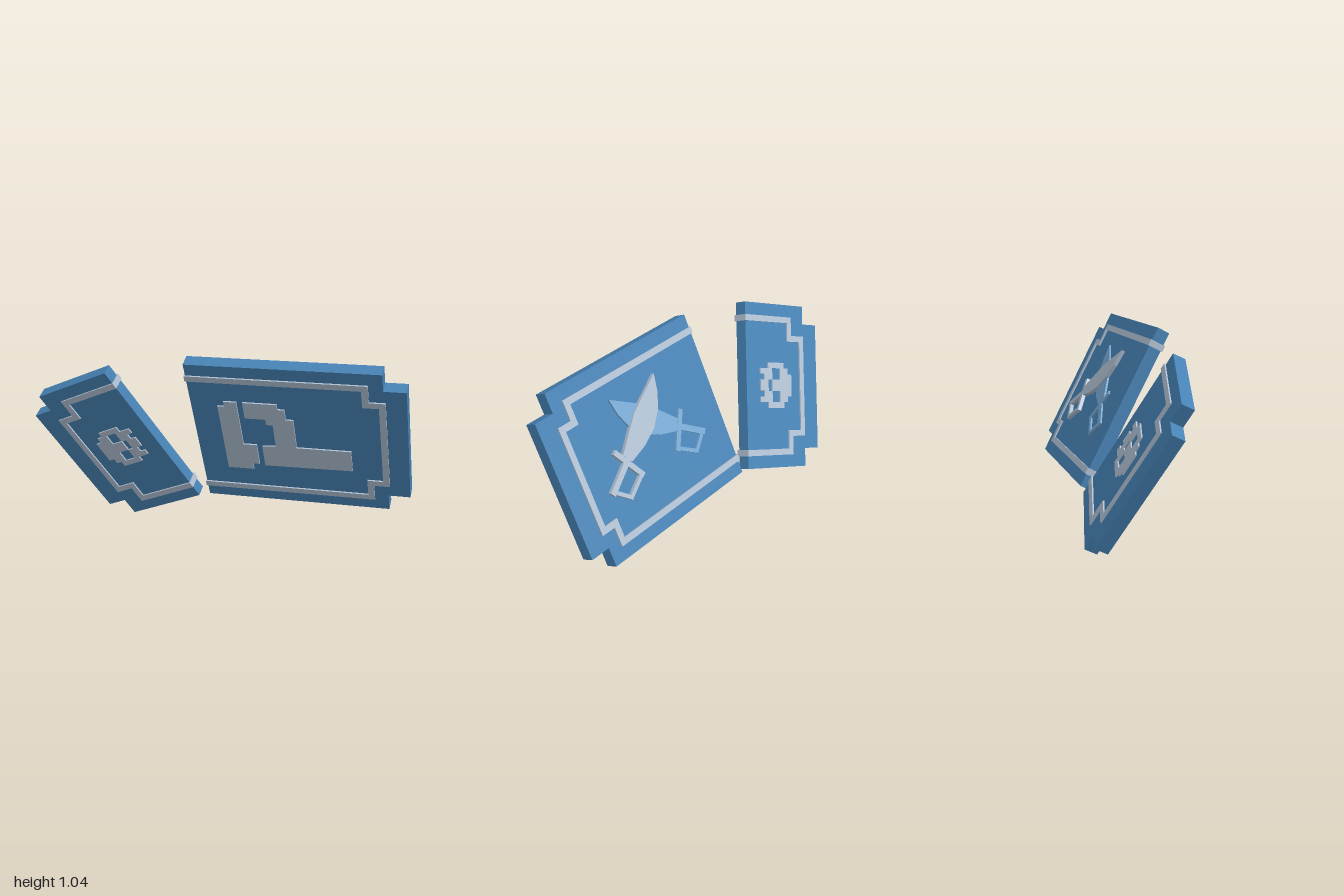
import * as THREE from 'three';

const HEIGHT = 0.896, THICK = 0.067, RAISE = 0.008, NOTCH = 0.1;

export function createModel() {
  const blue = new THREE.MeshStandardMaterial({ color: 0x4682b4 });
  blue.name = 'steel blue';
  const pale = new THREE.MeshStandardMaterial({ color: 0xb0c0d2 });
  pale.name = 'pale grey blue';
  const sky = new THREE.MeshStandardMaterial({ color: 0x78a9d3 });
  sky.name = 'sky blue';

  // Flat plate from an outline, between two depths (the front face is z = 0)
  function plate(name, points, z0, z1, material, parent) {
    const shape = new THREE.Shape(points.map(([x, y]) => new THREE.Vector2(x, y)));
    const geometry = new THREE.ExtrudeGeometry(shape, { depth: z1 - z0, bevelEnabled: false });
    geometry.translate(0, 0, z0);
    const mesh = new THREE.Mesh(geometry, material);
    mesh.name = name;
    parent.add(mesh);
  }

  // Straight bar between two points
  function bar(name, [ax, ay], [bx, by], width, z0, z1, material, parent) {
    const length = Math.hypot(bx - ax, by - ay);
    const px = (-(by - ay) / length) * width / 2, py = ((bx - ax) / length) * width / 2;
    const ex = ((bx - ax) / length) * width / 2, ey = ((by - ay) / length) * width / 2;
    plate(name, [
      [ax - ex + px, ay - ey + py], [bx + ex + px, by + ey + py],
      [bx + ex - px, by + ey - py], [ax - ex - px, ay - ey - py],
    ], z0, z1, material, parent);
  }

  // Half of a notched ticket: cut edge at x = 0, tab towards side * x
  function ticketHalf(name, side, width, tab, stepAt, tabAt, origin, uDir, vDir) {
    const half = new THREE.Group();
    half.name = name;
    const u = new THREE.Vector3(...uDir).normalize();
    const n = u.clone().cross(new THREE.Vector3(...vDir)).normalize();
    const v = n.clone().cross(u);
    half.quaternion.setFromRotationMatrix(new THREE.Matrix4().makeBasis(u, v, n));
    half.position.set(...origin);

    const flip = (points) => points.map(([x, y]) => [x * side, y]);
    plate('slab', flip([
      [0, 0], [width, 0], [width, NOTCH], [width + tab, NOTCH],
      [width + tab, HEIGHT - NOTCH], [width, HEIGHT - NOTCH], [width, HEIGHT], [0, HEIGHT],
    ]), -THICK, 0, blue, half);

    // Raised border stripe, on both faces and over the cut edge
    const path = (d) => [
      [-0.006, 0.068 + d], [stepAt - d, 0.068 + d], [stepAt - d, 0.17 + d], [tabAt - d, 0.17 + d],
      [tabAt - d, HEIGHT - 0.17 - d], [stepAt - d, HEIGHT - 0.17 - d],
      [stepAt - d, HEIGHT - 0.068 - d], [-0.006, HEIGHT - 0.068 - d],
    ];
    plate('borderStripe', flip([...path(0), ...path(0.033).reverse()]),
      -THICK - RAISE, RAISE, pale, half);
    return half;
  }

  const model = new THREE.Group();
  model.name = 'tornTicket';

  const large = ticketHalf('largeHalf', 1, 0.97, 0.11, 0.9, 0.98,
    [-0.07, 0.197, -0.16], [0.99, 0.015, 0.134], [-0.067, 0.893, 0.446]);
  const small = ticketHalf('smallHalf', -1, 0.461, 0.11, 0.355, 0.455,
    [-0.13, 0.18, -0.165], [0.867, 0.386, 0.315], [-0.481, 0.815, 0.323]);
  model.add(large, small);

  // Blocky emblem in two pieces on the front of the large half
  plate('emblemLeftPiece', [
    [0.14, 0.645], [0.175, 0.645], [0.175, 0.677], [0.241, 0.677], [0.243, 0.395],
    [0.312, 0.395], [0.312, 0.262], [0.277, 0.262], [0.277, 0.222], [0.14, 0.222],
  ], 0, RAISE, pale, large);
  plate('emblemRightPiece', [
    [0.272, 0.677], [0.446, 0.677], [0.446, 0.645], [0.482, 0.645], [0.482, 0.58],
    [0.52, 0.58], [0.52, 0.395], [0.796, 0.395], [0.796, 0.262], [0.341, 0.255],
    [0.341, 0.39], [0.412, 0.395], [0.412, 0.54], [0.378, 0.54], [0.378, 0.575], [0.272, 0.575],
  ], 0, RAISE, pale, large);

  // Crossed cutlasses on the back, mirrored about x = 0.5
  function cutlass(name, mirrored, height, material) {
    const sword = new THREE.Group();
    sword.name = name;
    const at = ([x, y]) => [mirrored ? 1 - x : x, y];
    const z0 = -THICK - height, z1 = -THICK;
    plate('blade', [
      [0.345, 0.72], [0.44, 0.665], [0.546, 0.603], [0.625, 0.53], [0.705, 0.452],
      [0.668, 0.4], [0.56, 0.432], [0.467, 0.482], [0.4, 0.555], [0.365, 0.63],
    ].map(at), z0, z1, material, sword);
    const guardTop = [0.737, 0.475], guardEnd = [0.638, 0.32];
    const pommel = [0.832, 0.322], bow = [0.748, 0.25];
    bar('guard', at(guardTop), at(guardEnd), 0.028, z0, z1, material, sword);
    bar('grip', at([0.685, 0.42]), at(pommel), 0.032, z0, z1, material, sword);
    bar('lowerBow', at(guardEnd), at(bow), 0.02, z0, z1, material, sword);
    bar('rearBow', at(bow), at(pommel), 0.02, z0, z1, material, sword);
    large.add(sword);
  }
  cutlass('upperCutlass', false, 0.02, pale);
  cutlass('lowerCutlass', true, 0.01, sky);

  // Pixel skull through the small half, crown towards the tab, teeth towards the cut
  const skull = new THREE.Group();
  skull.name = 'skull';
  const rows = [
    '..####..',
    '.######.',
    '########',
    '#..##..#',
    '#..##..#',
    '###..###',
    '.######.',
    '.#.##.#.',
  ];
  const cell = 0.031;
  rows.forEach((row, i) => {
    for (const run of row.matchAll(/#+/g)) {
      const size = run[0].length;
      const block = new THREE.Mesh(
        new THREE.BoxGeometry(cell, size * cell, THICK + 2 * RAISE), pale);
      block.name = 'skullBlock';
      block.position.set(-0.225 + (i - 3.5) * cell,
        0.45 + (run.index + size / 2 - 4) * cell, -THICK / 2);
      skull.add(block);
    }
  });
  small.add(skull);

  return model;
}
